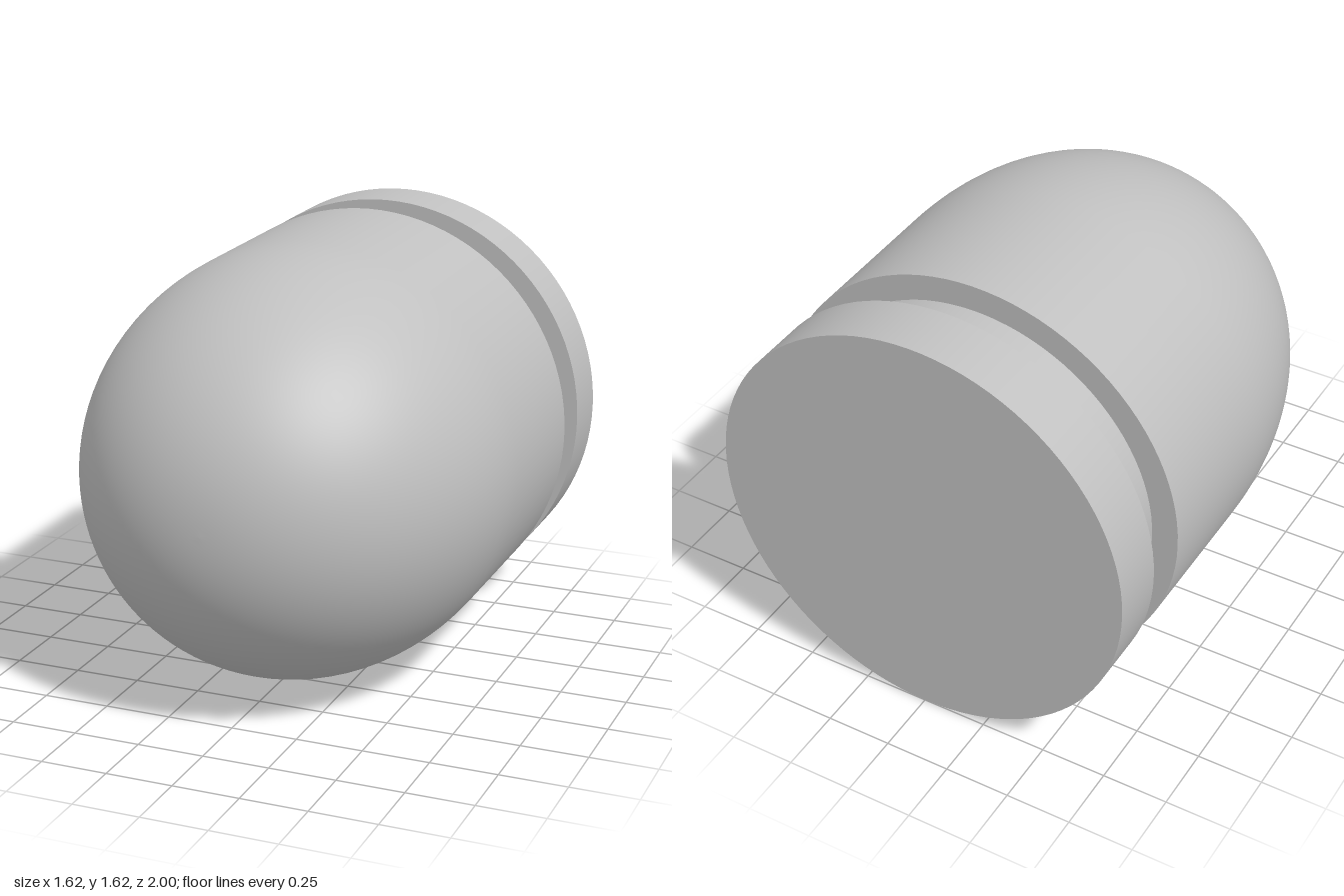
import * as THREE from 'three';
import { mergeGeometries } from 'three/addons/utils/BufferGeometryUtils.js';

const R = 0.81;        // body radius
const GROOVE = 0.71;   // groove floor radius
const SIDES = 96;

// Revolves one smooth profile of [radius, z] points (back to front) about the z axis.
function revolve(profile) {
  const points = profile.map(([r, z]) => new THREE.Vector2(r, z));
  return new THREE.LatheGeometry(points, SIDES).rotateX(Math.PI / 2);
}

export function createModel() {
  const group = new THREE.Group();
  const grey = new THREE.MeshStandardMaterial({ color: 0xc0c0c0 });
  grey.name = 'grey';

  // Each profile is revolved separately so the edges between them stay sharp.
  const add = (name, profiles) => {
    const mesh = new THREE.Mesh(mergeGeometries(profiles.map(revolve)), grey);
    mesh.name = name;
    mesh.position.y = R;
    group.add(mesh);
  };

  // Rim: flat back disc, outer wall and step down into the groove
  add('rim', [
    [[0, -1], [R, -1]],
    [[R, -1], [R, -0.775]],
    [[R, -0.775], [GROOVE, -0.775]],
  ]);

  // Groove floor
  add('groove', [[[GROOVE, -0.775], [GROOVE, -0.6]]]);

  // Body: step up from the groove, then straight wall running into a rounded nose
  const wall = [[R, -0.6], [R, -0.3]];
  const power = 2 / 2.1;
  for (let i = 0; i <= 40; i++) {
    const a = (i / 40) * Math.PI / 2;
    const r = i === 40 ? 0 : R * Math.cos(a) ** power;
    wall.push([r, Math.sin(a) ** power]);
  }
  add('body', [[[GROOVE, -0.6], [R, -0.6]], wall]);

  return group;
}
